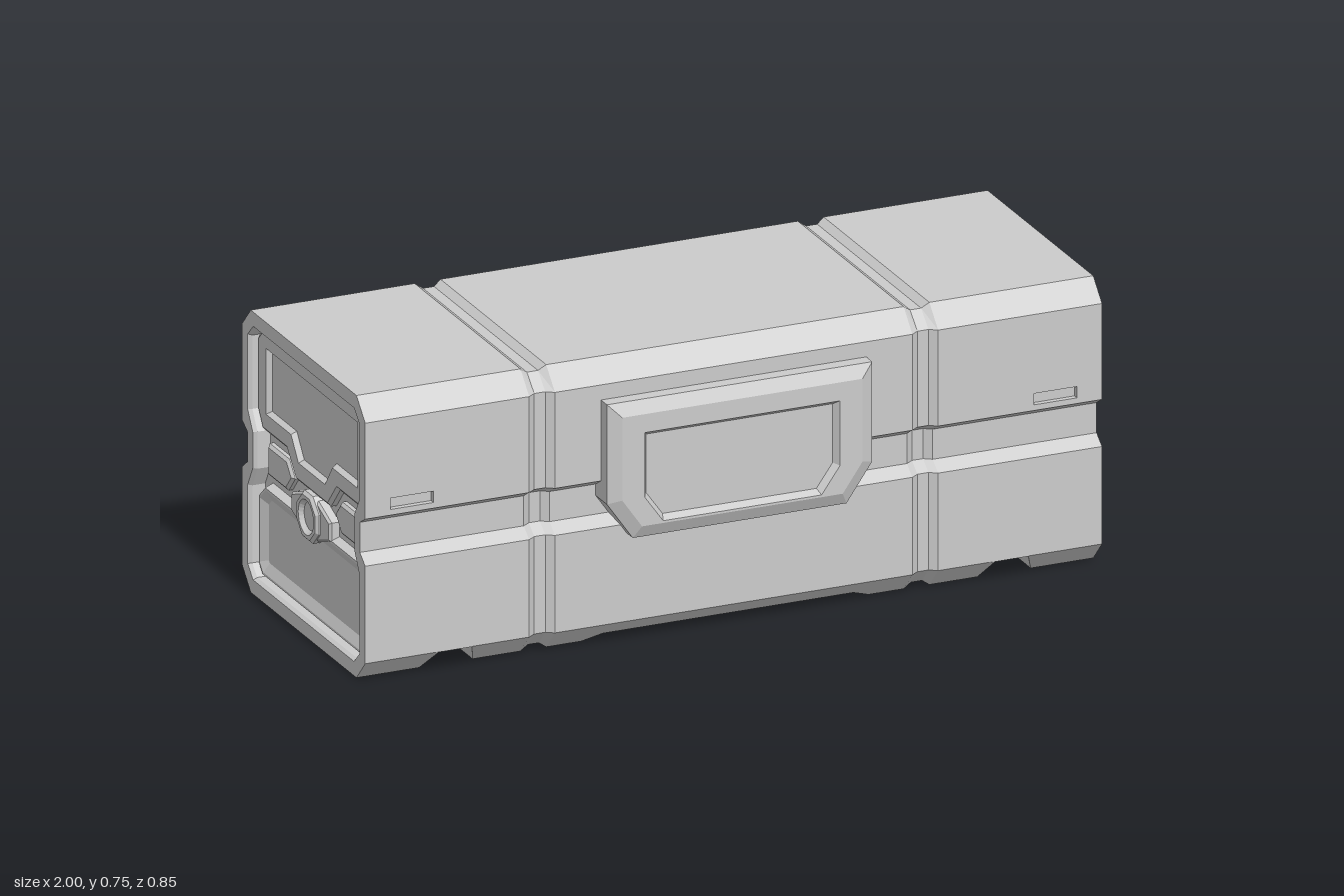
import * as THREE from 'three';
import { mergeGeometries } from 'three/addons/utils/BufferGeometryUtils.js';

const material = new THREE.MeshStandardMaterial({ color: 0xcccccc, flatShading: true });

// Full counter-clockwise outline from its +u half, listed bottom to top
const sym = (half) => [...half, ...half.slice().reverse().map(([u, v]) => [-u, v])];

const polygon = (n, r, cv, turn = 0) => Array.from({ length: n }, (_, i) => {
  const a = (i / n) * Math.PI * 2 + turn;
  return [r * Math.cos(a), cv + r * Math.sin(a)];
});

// Moves every edge of a counter-clockwise outline inwards by d
function inset(pts, d) {
  const n = pts.length;
  const normal = (a, b) => {
    const l = Math.hypot(b[0] - a[0], b[1] - a[1]);
    return [(a[1] - b[1]) / l, (b[0] - a[0]) / l];
  };
  return pts.map((p, i) => {
    const m = normal(pts[(i + n - 1) % n], p);
    const k = normal(p, pts[(i + 1) % n]);
    const s = d / (1 + m[0] * k[0] + m[1] * k[1]);
    return [p[0] + (m[0] + k[0]) * s, p[1] + (m[1] + k[1]) * s];
  });
}

// Flat-sided skin through rings of { pts, w }
function loft(rings) {
  const pos = [];
  for (let r = 0; r + 1 < rings.length; r++) {
    const a = rings[r], b = rings[r + 1], n = a.pts.length;
    for (let i = 0; i < n; i++) {
      const j = (i + 1) % n;
      const A = [...a.pts[i], a.w], B = [...a.pts[j], a.w];
      const C = [...b.pts[j], b.w], D = [...b.pts[i], b.w];
      pos.push(...A, ...B, ...C, ...A, ...C, ...D);
    }
  }
  const g = new THREE.BufferGeometry();
  g.setAttribute('position', new THREE.Float32BufferAttribute(pos, 3));
  g.computeVertexNormals();
  return g;
}

function cap(pts, w, hole) {
  const toVec = (list) => list.map(([u, v]) => new THREE.Vector2(u, v));
  const shape = new THREE.Shape(toVec(pts));
  if (hole) shape.holes.push(new THREE.Path(toVec(hole)));
  const g = new THREE.ShapeGeometry(shape).toNonIndexed();
  g.deleteAttribute('uv');
  return g.translate(0, 0, w);
}

// Stepped plate: steps are [inset, height]; the last one is capped
function plate(pts, steps, hole) {
  const rings = steps.map(([d, w]) => ({ pts: inset(pts, d), w }));
  const top = rings[rings.length - 1];
  return mergeGeometries([loft(rings), cap(top.pts, top.w, hole)]);
}

function add(parent, name, ...geometries) {
  const mesh = new THREE.Mesh(mergeGeometries(geometries), material);
  mesh.name = name;
  parent.add(mesh);
}

// Case cross-section: groove depth g, underside height b, slot depth d
function section(g, b, d) {
  const W = 0.373 - g;
  return sym([
    [0.32 + b * 0.96 - g, b], [W, 0.056], [W, 0.315], [0.34 - g, 0.34],
    [0.34 - g, 0.42], [W, 0.44], [W, 0.455], [W - d, 0.455], [W - d, 0.485],
    [W, 0.485], [W, 0.695], [0.32 - g * 0.4, 0.75 - g],
  ]);
}

const rimHole = sym([
  [0.305, 0.038], [0.338, 0.07], [0.338, 0.28], [0.307, 0.335],
  [0.307, 0.43], [0.338, 0.48], [0.338, 0.68], [0.305, 0.712],
]);

function createEnd() {
  const end = new THREE.Group();

  // Rim and recessed floor
  add(end, 'endRim', cap(section(0, 0, 0), 1, rimHole),
    plate(rimHole, [[0, 1], [0.006, 0.99], [0.006, 0.955]]));

  // Upper panel with sunken window
  const upper = sym([
    [0.1, 0.372], [0.155, 0.435], [0.301, 0.435], [0.331, 0.482], [0.331, 0.676], [0.3, 0.706],
  ]);
  const window = sym([[0.08, 0.425], [0.125, 0.485], [0.277, 0.485], [0.277, 0.66]]);
  add(end, 'upperEndPanel',
    plate(upper, [[0, 0.95], [0, 0.97], [0.01, 0.978]], window),
    plate(window, [[0, 0.978], [0.008, 0.964]]));

  // Lower dished panel
  const lower = sym([[0.3, 0.043], [0.33, 0.074], [0.33, 0.258], [0.285, 0.298]]);
  add(end, 'lowerEndPanel',
    plate(lower, [[0, 0.95], [0.01, 0.978], [0.016, 0.978], [0.042, 0.965]]));

  // Pointed side panels
  const side = [[0.165, 0.32], [0.28, 0.32], [0.28, 0.405], [0.16, 0.405], [0.125, 0.365]];
  const steps = [[0, 0.95], [0, 0.966], [0.008, 0.973]];
  add(end, 'sideEndPanels', plate(side, steps),
    plate(side.map(([u, v]) => [-u, v]).reverse(), steps));

  // Latch with wings and round button
  const wings = sym([[0.04, 0.257], [0.118, 0.285], [0.118, 0.335], [0.04, 0.365]]);
  add(end, 'latchWings', plate(wings, [[0, 0.95], [0, 0.976], [0.006, 0.982]]));
  const button = polygon(24, 0.046, 0.312);
  add(end, 'latchRing',
    plate(polygon(8, 0.068, 0.312, Math.PI / 8), [[0, 0.95], [0, 0.986], [0.008, 0.994]], button),
    plate(button, [[0, 0.994], [0.009, 0.982]]));
  return end;
}

function createHandle() {
  const outline = sym([[0.29, 0.29], [0.36, 0.39], [0.36, 0.655]]);
  const window = sym([[0.215, 0.33], [0.265, 0.4], [0.265, 0.572]]);
  const handle = new THREE.Group();
  add(handle, 'handlePlate',
    plate(outline, [[0, 0.33], [0, 0.409], [0.034, 0.426]], window),
    plate(window, [[0, 0.426], [0.012, 0.408]]));
  return handle;
}

export function createModel() {
  const model = new THREE.Group();
  model.name = 'storageCase';

  // Half-length stations: position, groove, underside height, slot depth
  const half = [
    [0.34, 0, 0.02, 0], [0.39, 0, 0, 0],
    [0.485, 0, 0, 0], [0.505, 0.014, 0.014, 0], [0.535, 0.014, 0.014, 0], [0.555, 0, 0, 0],
    [0.685, 0, 0, 0], [0.71, 0, 0.055, 0], [0.8, 0, 0.055, 0],
    [0.815, 0, 0.0275, 0], [0.815, 0, 0.0275, 0.015], [0.83, 0, 0, 0.015],
    [0.932, 0, 0, 0.015], [0.932, 0, 0, 0], [1, 0, 0, 0],
  ];
  const stations = [...half.map(([w, ...s]) => [-w, ...s]).reverse(), ...half];
  const body = new THREE.Group();
  body.name = 'body';
  body.rotation.y = Math.PI / 2;
  add(body, 'shell', loft(stations.map(([w, g, b, d]) => ({ pts: section(g, b, d), w }))));
  model.add(body);

  for (const s of [1, -1]) {
    const end = createEnd();
    end.name = s > 0 ? 'leftEnd' : 'rightEnd';
    end.rotation.y = s * Math.PI / 2;
    const handle = createHandle();
    handle.name = s > 0 ? 'frontHandle' : 'backHandle';
    handle.rotation.y = s > 0 ? 0 : Math.PI;
    model.add(end, handle);
  }
  return model;
}
